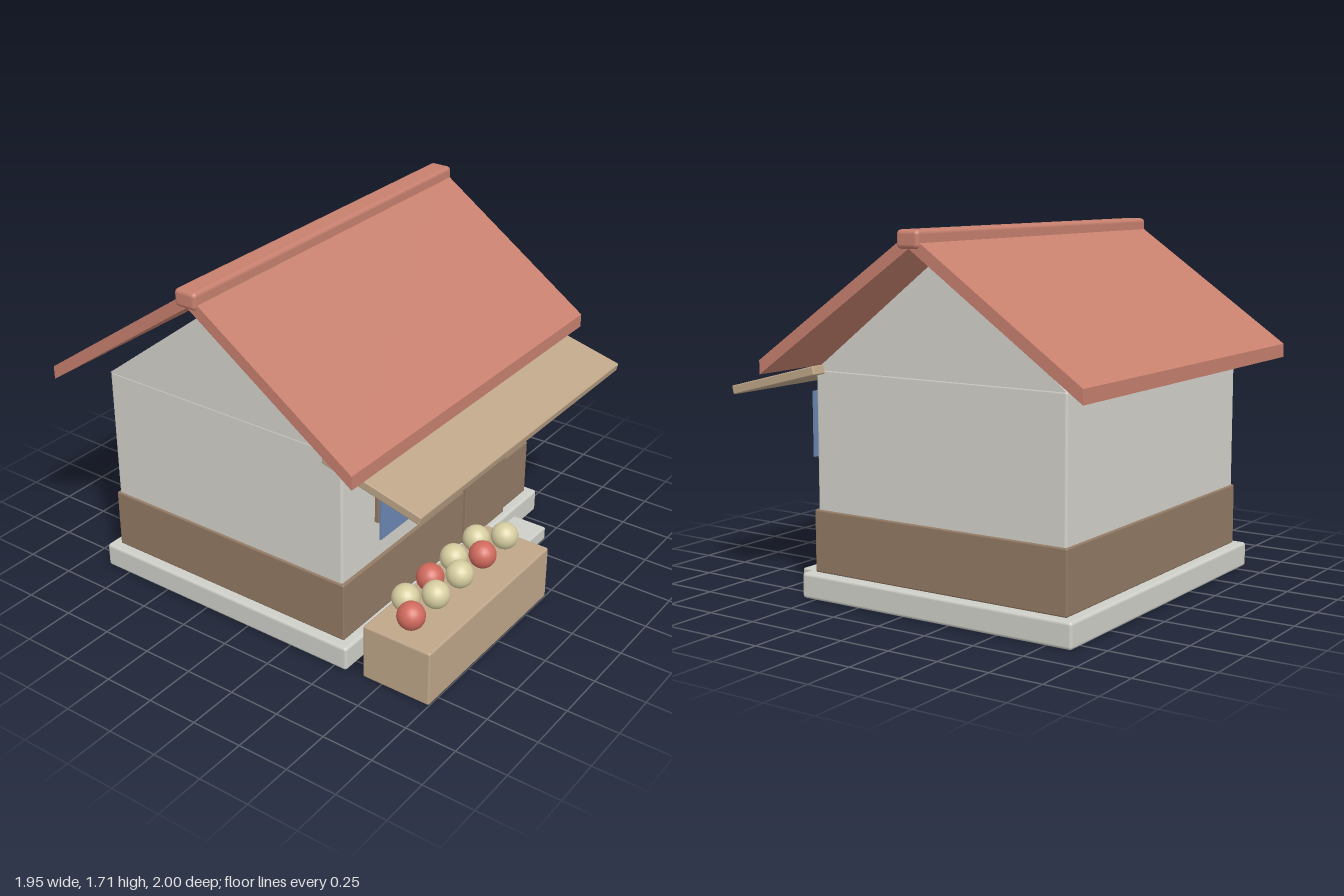
import * as THREE from 'three';
import { RoundedBoxGeometry } from 'three/addons/geometries/RoundedBoxGeometry.js';

const material = (name, color) => {
  const m = new THREE.MeshStandardMaterial({ color });
  m.name = name;
  return m;
};

export function createModel() {
  const group = new THREE.Group();
  const plaster = material('plaster', 0xd4d2cb);
  const stone = material('stone', 0xcfcfc9);
  const darkWood = material('dark wood', 0x927a64);
  const paleWood = material('pale wood', 0xbfa689);
  const tile = material('roof tile', 0xc7806e);
  const cloth = material('blue cloth', 0x6c87b2);
  const red = material('red fruit', 0xd06a5e);
  const cream = material('cream', 0xd6cda0);

  const add = (name, geometry, mat) => {
    const mesh = new THREE.Mesh(geometry, mat);
    mesh.name = name;
    group.add(mesh);
    return mesh;
  };
  // Box given by its extents; r rounds the edges
  const box = (name, mat, [x0, x1], [y0, y1], [z0, z1], r = 0) => {
    const size = [x1 - x0, y1 - y0, z1 - z0];
    const geometry = r ? new RoundedBoxGeometry(...size, 2, r) : new THREE.BoxGeometry(...size);
    const mesh = add(name, geometry, mat);
    mesh.position.set((x0 + x1) / 2, (y0 + y1) / 2, (z0 + z1) / 2);
    return mesh;
  };
  // Side profile of [z, y] points, extruded along x
  const profile = (name, mat, points, width) => {
    const shape = new THREE.Shape(points.map(([z, y]) => new THREE.Vector2(z, y)));
    const geometry = new THREE.ExtrudeGeometry(shape, { depth: width, bevelEnabled: false });
    geometry.translate(0, 0, -width / 2).rotateY(-Math.PI / 2);
    return add(name, geometry, mat);
  };

  // Base and walls
  box('foundation', stone, [-0.84, 0.84], [0, 0.12], [-0.88, 0.57], 0.015);
  box('doorstep', stone, [0.12, 0.625], [0, 0.07], [0.53, 0.75], 0.008);
  box('walls', plaster, [-0.785, 0.785], [0.11, 1.065], [-0.82, 0.51], 0.012);
  box('wainscot', darkWood, [-0.795, 0.795], [0.12, 0.415], [-0.83, 0.525], 0.008);
  profile('gable', plaster, [[-0.82, 1.06], [0.51, 1.06], [-0.155, 1.57]], 1.57);

  // Roof
  const ridgeZ = -0.155, reach = 0.845;
  profile('roof', tile, [
    [ridgeZ - reach, 1.045], [ridgeZ, 1.63], [ridgeZ + reach, 1.045],
    [ridgeZ + reach, 1.11], [ridgeZ, 1.695], [ridgeZ - reach, 1.11],
  ], 1.925);
  box('ridgeCap', tile, [-0.977, 0.977], [1.628, 1.71], [-0.213, -0.097], 0.02);

  // Sloping awning over the front
  const awning = add('awning', new RoundedBoxGeometry(1.72, 0.042, 0.51, 2, 0.006), paleWood);
  awning.position.set(0, 1.004, 0.71);
  awning.rotation.x = 0.25;

  // Door and window
  box('door', darkWood, [0.185, 0.555], [0.12, 0.79], [0.5, 0.54], 0.004);
  box('windowFrame', darkWood, [-0.54, -0.175], [0.61, 0.925], [0.5, 0.53], 0.004);
  box('windowPane', cream, [-0.515, -0.2], [0.635, 0.905], [0.525, 0.548]);

  // Hanging cloth panels
  for (let i = -2; i <= 2; i++) {
    const x = i * 0.274;
    box('clothPanel', cloth, [x - 0.121, x + 0.121], [0.63, 0.94], [0.625, 0.634]);
  }

  // Fruit stand with two staggered rows
  box('fruitStand', paleWood, [-0.825, 0.19], [0, 0.275], [0.65, 1], 0.01);
  const fruit = new THREE.SphereGeometry(0.065, 20, 14);
  for (let i = 0; i < 9; i++) {
    add('fruit', fruit, i % 3 === 0 ? red : cream)
      .position.set(-0.71 + i * 0.098, 0.337, i % 2 ? 0.73 : 0.825);
  }
  return group;
}
